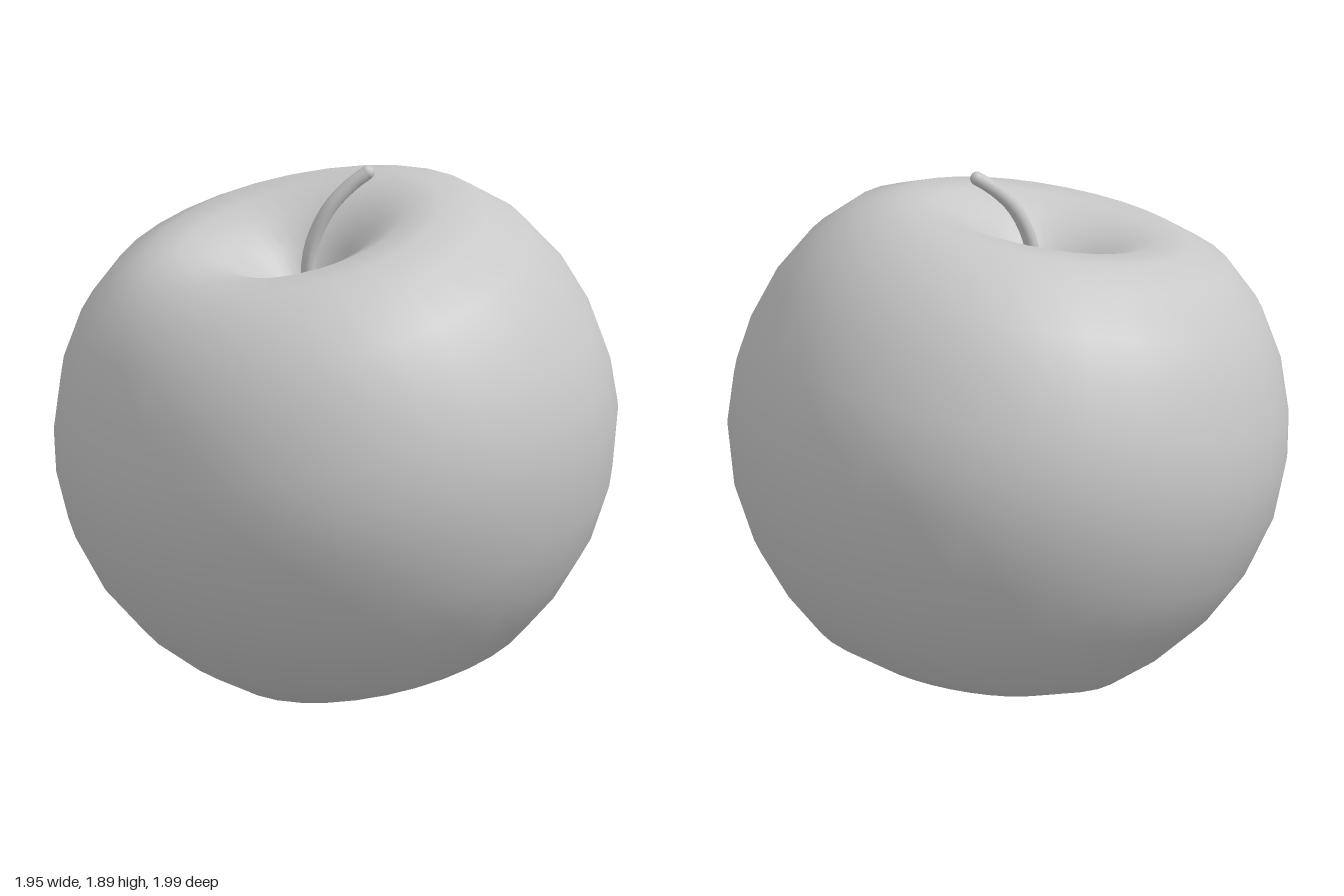
import * as THREE from 'three';

export function createModel() {
  const model = new THREE.Group();
  const grey = new THREE.MeshStandardMaterial({ color: 0xc8c8c8 });
  grey.name = 'plain grey';

  // Fruit body: one profile from the bottom dimple to the stem cavity
  const profile = [
    [0, -0.7], [0.08, -0.715], [0.2, -0.785], [0.35, -0.825], [0.545, -0.755], [0.69, -0.635],
    [0.82, -0.487], [0.925, -0.3], [0.99, -0.08], [0.998, 0.1], [0.975, 0.26], [0.912, 0.45],
    [0.815, 0.615], [0.68, 0.745], [0.53, 0.805], [0.4, 0.805], [0.28, 0.755], [0.18, 0.67],
    [0.1, 0.56], [0.04, 0.475], [0, 0.45],
  ].map(([r, h]) => new THREE.Vector2(r, h));
  const fruit = new THREE.Mesh(new THREE.LatheGeometry(profile, 32), grey);
  fruit.name = 'fruit';
  fruit.scale.x = 0.975;

  // The fruit leans forward and a little to its right
  const lean = new THREE.Group();
  lean.name = 'leaningFruit';
  lean.rotation.set(0.19, 0, 0.09);
  lean.position.set(0, 0.88, -0.01);
  lean.add(fruit);
  model.add(lean);

  // Curved stem with rounded tip
  const path = new THREE.CatmullRomCurve3([
    new THREE.Vector3(-0.05, 1.3, 0.09),
    new THREE.Vector3(-0.05, 1.58, 0.085),
    new THREE.Vector3(-0.01, 1.73, 0.04),
    new THREE.Vector3(0.04, 1.82, -0.025),
    new THREE.Vector3(0.08, 1.865, -0.07),
  ]);
  const stem = new THREE.Group();
  stem.name = 'stem';
  const stalk = new THREE.Mesh(new THREE.TubeGeometry(path, 16, 0.025, 10), grey);
  stalk.name = 'stalk';
  const tip = new THREE.Mesh(new THREE.SphereGeometry(0.025, 10, 8), grey);
  tip.name = 'stemTip';
  tip.position.copy(path.getPoint(1));
  stem.add(stalk, tip);
  model.add(stem);

  return model;
}
